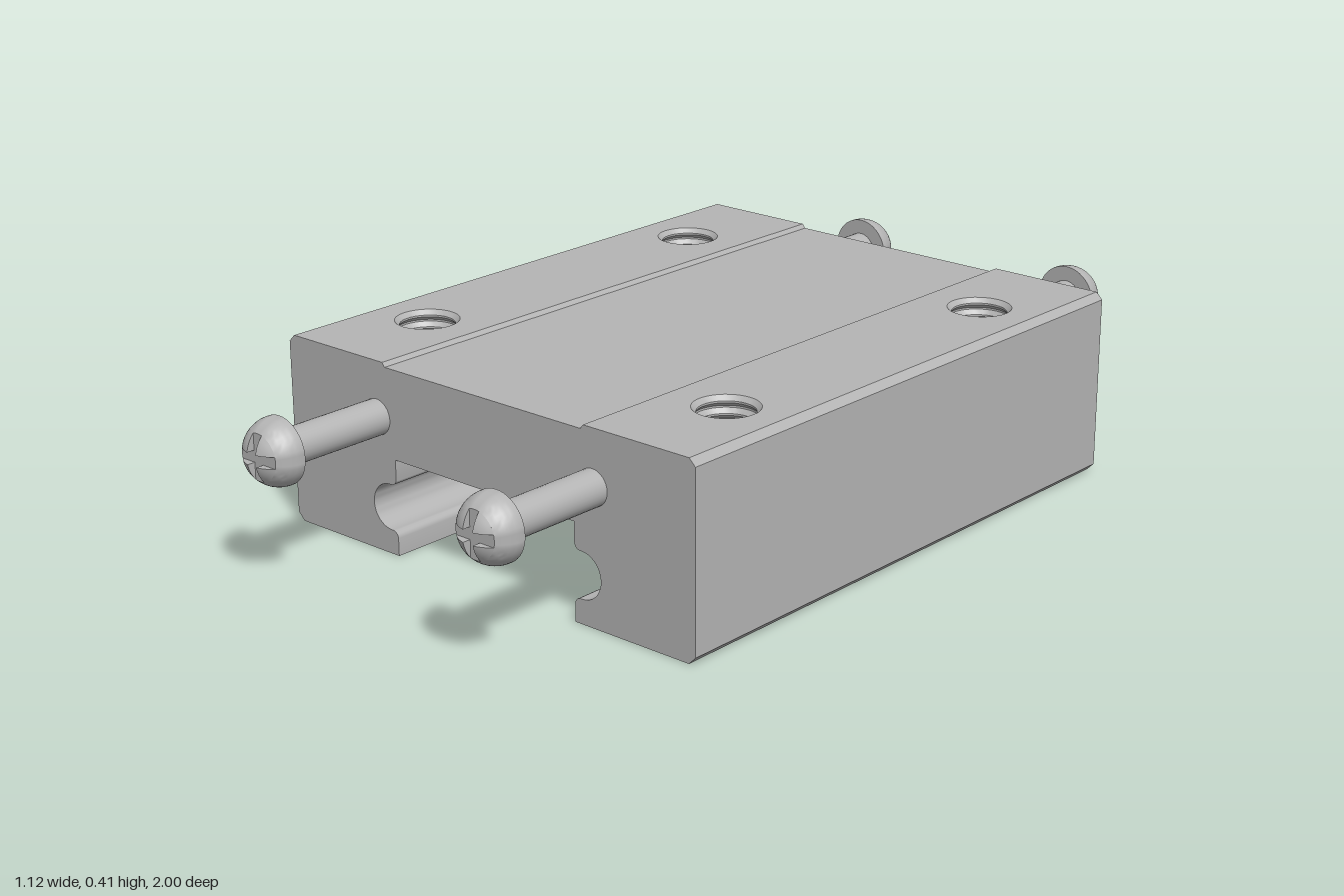
import * as THREE from 'three';
import { toCreasedNormals, mergeGeometries } from 'three/addons/utils/BufferGeometryUtils.js';
import { ParametricGeometry } from 'three/addons/geometries/ParametricGeometry.js';

const TOP = 0.413, HALF = 0.67, LAND_IN = 0.277, LAND_OUT = 0.543;
const HOLE_X = 0.414, HOLE_Z = 0.415, HOLE_R = 0.069;
const SCREW_X = 0.299, SCREW_Y = 0.292;
const v2 = (x, y) => new THREE.Vector2(x, y);

// Points along a circular arc, angles in degrees
function arc(cx, cy, r, from, to, n) {
  return Array.from({ length: n + 1 }, (_, i) => {
    const a = THREE.MathUtils.degToRad(from + (to - from) * i / n);
    return v2(cx + r * Math.cos(a), cy + r * Math.sin(a));
  });
}

// Carriage section extruded along z, leaving the raised lands open for drilled plates
function carriageGeometry() {
  const half = [
    v2(0.27, 0.404), v2(LAND_IN, TOP), v2(LAND_OUT, TOP), v2(0.558, 0.398),
    v2(0.558, 0.017), v2(0.541, 0), v2(0.249, 0),
    ...arc(0.264, 0.038, 0.015, 180, 90, 5),
    ...arc(0.268, 0.103, 0.05, -90, 90, 20),
    ...arc(0.264, 0.168, 0.015, 270, 180, 5),
    v2(0.249, 0.21),
  ];
  const mirrored = half.map(p => v2(-p.x, p.y)).reverse();
  const solid = new THREE.ExtrudeGeometry(new THREE.Shape([...half, ...mirrored]),
    { depth: 2 * HALF, bevelEnabled: false });
  solid.translate(0, 0, -HALF);
  const creased = toCreasedNormals(solid, 0.5);
  const pos = creased.attributes.position, nor = creased.attributes.normal;
  const P = [], N = [];
  for (let i = 0; i < pos.count; i += 3) {
    if ([0, 1, 2].every(k => pos.getY(i + k) > TOP - 1e-4)) continue;
    for (let k = i; k < i + 3; k++) {
      P.push(pos.getX(k), pos.getY(k), pos.getZ(k));
      N.push(nor.getX(k), nor.getY(k), nor.getZ(k));
    }
  }
  const g = new THREE.BufferGeometry();
  g.setAttribute('position', new THREE.Float32BufferAttribute(P, 3));
  g.setAttribute('normal', new THREE.Float32BufferAttribute(N, 3));
  return g;
}

// Flat land with two round openings
function landGeometry(side) {
  const a = side * LAND_IN, b = side * LAND_OUT;
  const shape = new THREE.Shape([v2(a, -HALF), v2(b, -HALF), v2(b, HALF), v2(a, HALF)]);
  for (const z of [-HOLE_Z, HOLE_Z]) {
    shape.holes.push(new THREE.Path().absarc(side * HOLE_X, z, HOLE_R, 0, Math.PI * 2, true));
  }
  return new THREE.ShapeGeometry(shape, 20).rotateX(-Math.PI / 2).translate(0, TOP, 0);
}

// Threaded blind hole: profile runs downwards so the wall faces inwards
function holeGeometry() {
  const pts = [v2(HOLE_R, 0)], pitch = 0.026, turns = 9;
  for (let i = 0; i < turns; i++) {
    const y = -i * pitch;
    pts.push(v2(0.059, y - 0.010), v2(0.059, y - 0.014), v2(0.067, y - 0.022), v2(0.067, y - pitch));
  }
  pts.push(v2(0, -turns * pitch));
  return toCreasedNormals(new THREE.LatheGeometry(pts, 40), 0.5);
}

// Domed head with a recessed cross, pointing along +z
const HEAD_R = 0.072, HEAD_Z = 0.928, CROSS_R = 0.05, SLOT = 0.0125;
const FLOOR = HEAD_Z + Math.sqrt(HEAD_R ** 2 - CROSS_R ** 2);
const domeZ = (x, y) => HEAD_Z + Math.sqrt(Math.max(0, HEAD_R ** 2 - x * x - y * y));

function headBaseGeometry() {
  const edge = THREE.MathUtils.radToDeg(Math.acos(CROSS_R / HEAD_R));
  const pts = [v2(0.03, 0.923), v2(HEAD_R, 0.923), ...arc(0, HEAD_Z, HEAD_R, 0, edge, 8), v2(0, FLOOR)];
  return toCreasedNormals(new THREE.LatheGeometry(pts, 48).rotateX(Math.PI / 2), 0.5);
}

// Four dome quarters standing between the arms of the cross
function headQuartersGeometry() {
  const a0 = Math.asin(SLOT / CROSS_R), reach = Math.sqrt(CROSS_R ** 2 - SLOT ** 2);
  const lerp = THREE.MathUtils.lerp;
  const dome = (u, v, t) => {
    const a = lerp(a0, Math.PI / 2 - a0, v);
    const x = lerp(SLOT, CROSS_R * Math.cos(a), u), y = lerp(SLOT, CROSS_R * Math.sin(a), u);
    t.set(x, y, domeZ(x, y));
  };
  const wallX = (u, v, t) => {
    const x = lerp(SLOT, reach, u);
    t.set(x, SLOT, lerp(FLOOR, domeZ(x, SLOT), v));
  };
  const wallY = (u, v, t) => {
    const y = lerp(SLOT, reach, v);
    t.set(SLOT, y, lerp(FLOOR, domeZ(SLOT, y), u));
  };
  const quarter = mergeGeometries([
    new ParametricGeometry(dome, 6, 8),
    new ParametricGeometry(wallX, 6, 1),
    new ParametricGeometry(wallY, 1, 6),
  ]);
  quarter.computeVertexNormals();
  return mergeGeometries([0, 1, 2, 3].map(i => quarter.clone().rotateZ(i * Math.PI / 2)));
}

export function createModel() {
  const steel = new THREE.MeshStandardMaterial({ color: 0xb4b4b4 });
  steel.name = 'steel grey';
  const model = new THREE.Group();
  model.name = 'railCarriage';
  const add = (parent, name, geometry) => {
    const mesh = new THREE.Mesh(geometry, steel);
    mesh.name = name;
    parent.add(mesh);
    return mesh;
  };

  add(model, 'carriageBody', carriageGeometry());

  // Mounting lands and their threaded holes
  const hole = holeGeometry();
  for (const side of [-1, 1]) {
    add(model, side > 0 ? 'leftLand' : 'rightLand', landGeometry(side));
    for (const z of [-HOLE_Z, HOLE_Z]) {
      add(model, 'threadedHole', hole).position.set(side * HOLE_X, TOP, z);
    }
  }

  // Two screws at each end
  const shaft = new THREE.CylinderGeometry(0.0385, 0.0385, 0.365, 32)
    .rotateX(Math.PI / 2).translate(0, 0, 0.7425);
  const headBase = headBaseGeometry(), headQuarters = headQuartersGeometry();
  for (const end of ['front', 'back']) {
    for (const x of [-SCREW_X, SCREW_X]) {
      const screw = new THREE.Group();
      screw.name = end + 'Screw';
      add(screw, 'screwShaft', shaft);
      add(screw, 'screwHead', headBase);
      add(screw, 'crossRecess', headQuarters);
      screw.position.set(x, SCREW_Y, 0);
      if (end === 'back') screw.rotation.y = Math.PI;
      model.add(screw);
    }
  }
  return model;
}
